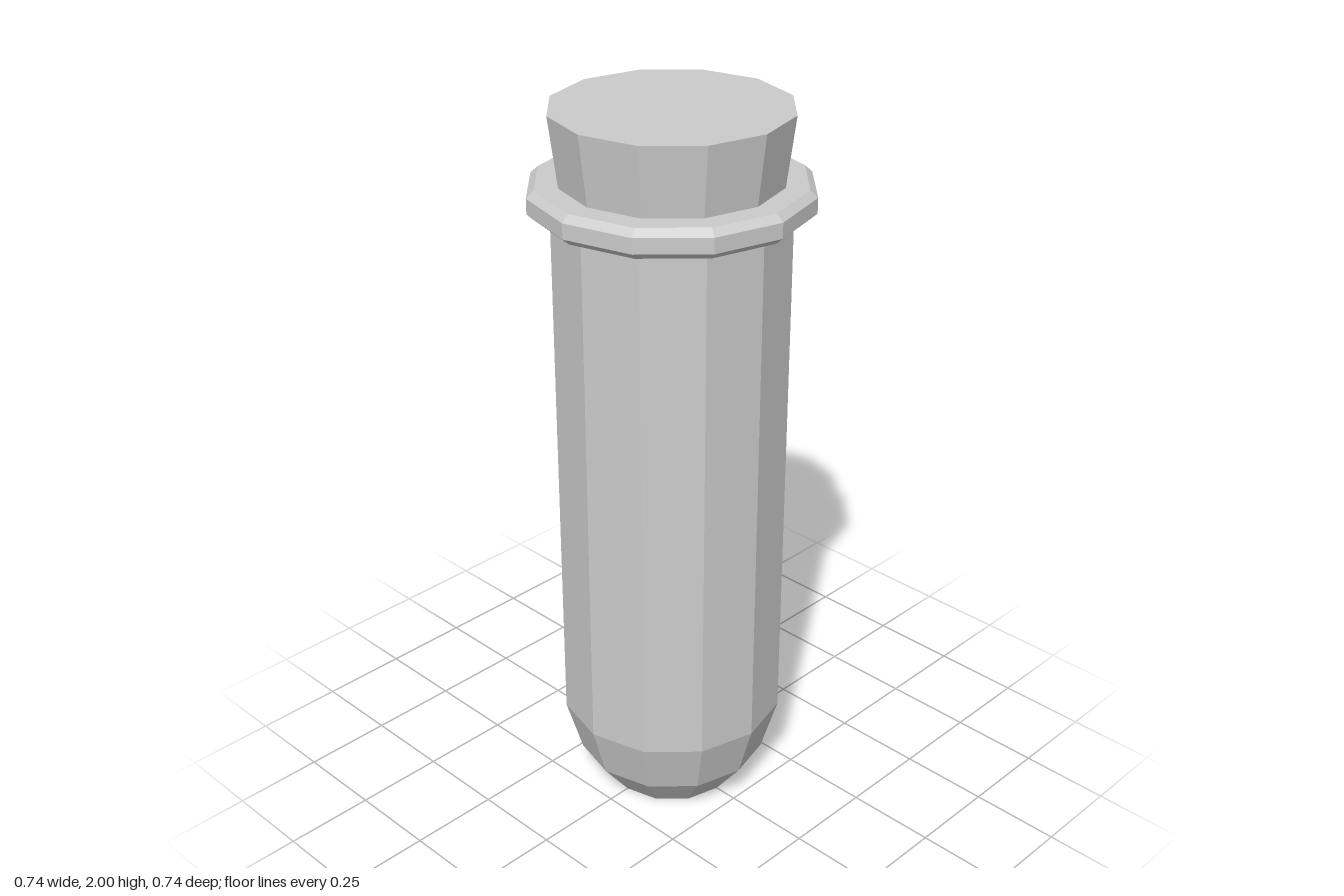
import * as THREE from 'three';

const SIDES = 12;

// Faceted solid of revolution; profile is [radius, height] from bottom to top
function turned(name, profile) {
  const points = profile.map(([r, y]) => new THREE.Vector2(r, y));
  const material = new THREE.MeshStandardMaterial({ color: 0xcccccc, flatShading: true });
  const mesh = new THREE.Mesh(new THREE.LatheGeometry(points, SIDES), material);
  mesh.name = name;
  return mesh;
}

export function createModel() {
  const group = new THREE.Group();
  group.name = 'stopperedTube';

  // Tube with a tapered, flat-ended base
  const tube = turned('tube', [
    [0, 0], [0.183, 0], [0.267, 0.11], [0.312, 0.265], [0.312, 1.74],
  ]);

  // Chamfered lip around the mouth, closed across the top
  const lip = turned('lip', [
    [0.312, 1.738], [0.35, 1.738], [0.37, 1.756], [0.37, 1.797], [0.35, 1.815], [0, 1.815],
  ]);

  // Stopper flaring towards its flat top
  const stopper = turned('stopper', [
    [0.288, 1.81], [0.312, 2], [0, 2],
  ]);

  group.add(tube, lip, stopper);
  return group;
}
